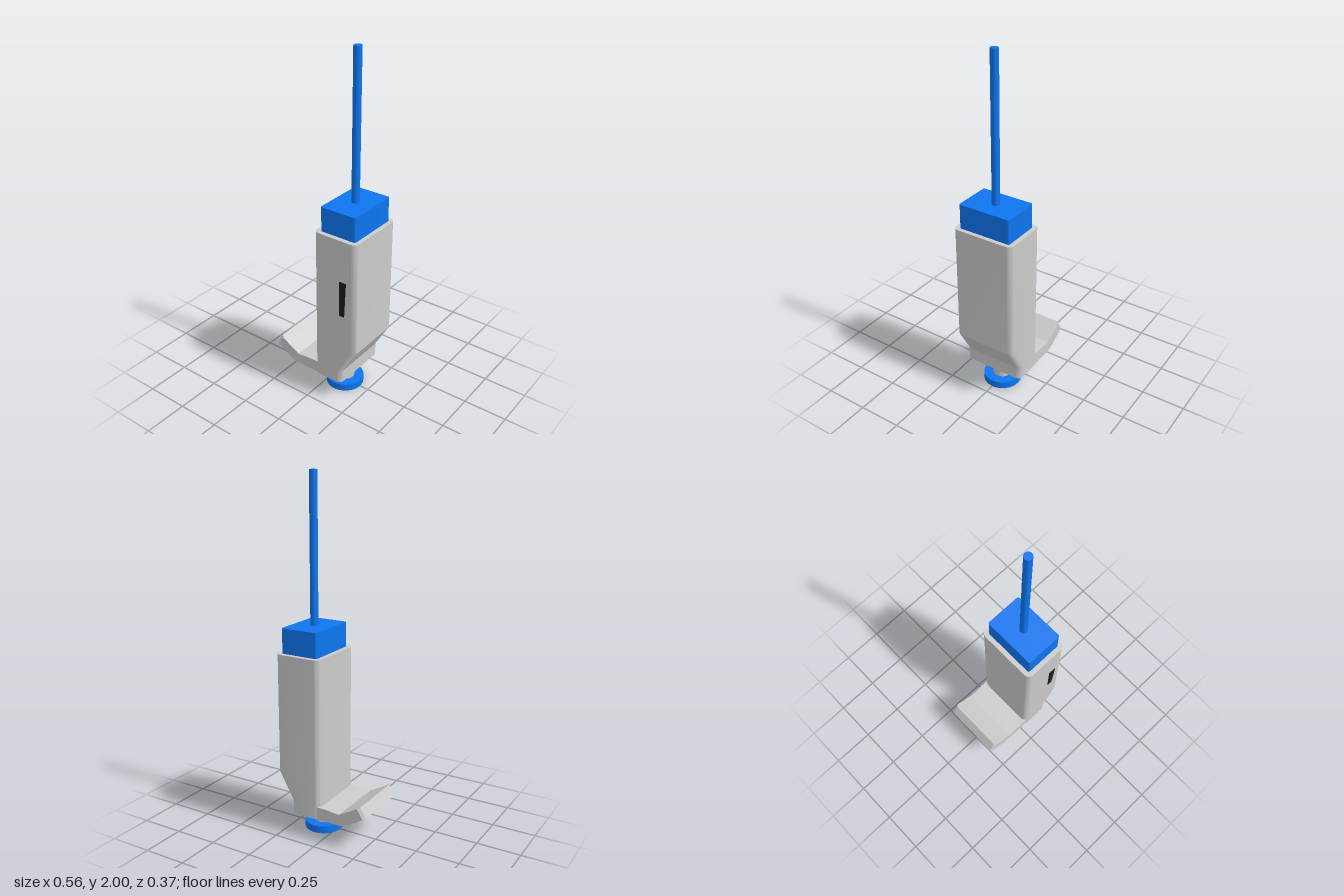
import * as THREE from 'three';
import { toCreasedNormals } from 'three/addons/utils/BufferGeometryUtils.js';

const Z = -0.003; // depth centre of the body

// Rounded rectangle in plan, counter-clockwise
function roundedRect(x0, x1, z0, z1, r) {
  const s = new THREE.Shape();
  const corners = [[x1 - r, z1 - r, 0], [x0 + r, z1 - r, 1], [x0 + r, z0 + r, 2], [x1 - r, z0 + r, 3]];
  for (const [x, z, q] of corners) s.absarc(x, z, r, q * Math.PI / 2, (q + 1) * Math.PI / 2, false);
  return s.getPoints(5).filter((p, i, a) => i === 0 || (p.distanceTo(a[i - 1]) > 1e-6 && p.distanceTo(a[0]) > 1e-6));
}

// Joins equal-length counter-clockwise outlines, stacked along +level, and caps both ends
function loft(rings, levels) {
  const n = rings[0].length, pos = [], idx = [];
  rings.forEach((ring, k) => ring.forEach(p => pos.push(p.x, p.y, levels[k])));
  for (let k = 0; k < rings.length - 1; k++) {
    for (let i = 0; i < n; i++) {
      const a = k * n + i, b = k * n + (i + 1) % n;
      idx.push(a, b, b + n, a, b + n, a + n);
    }
  }
  const top = (rings.length - 1) * n;
  for (const [a, b, c] of THREE.ShapeUtils.triangulateShape(rings[0], [])) idx.push(a, c, b);
  for (const [a, b, c] of THREE.ShapeUtils.triangulateShape(rings[rings.length - 1], [])) idx.push(top + a, top + b, top + c);
  const g = new THREE.BufferGeometry();
  g.setAttribute('position', new THREE.Float32BufferAttribute(pos, 3));
  g.setIndex(idx);
  return g;
}

// Upright loft: plan outlines (x, -z) stacked in y
const upright = (rings, levels) => loft(rings, levels).rotateX(-Math.PI / 2);

export function createModel() {
  const group = new THREE.Group();
  const grey = new THREE.MeshStandardMaterial({ color: 0xcccccc });
  const blue = new THREE.MeshStandardMaterial({ color: 0x0d76f0 });
  const black = new THREE.MeshStandardMaterial({ color: 0x1c1c1c });

  function add(name, geometry, material, crease = 0.5) {
    const mesh = new THREE.Mesh(toCreasedNormals(geometry, crease), material);
    mesh.name = name;
    group.add(mesh);
    return mesh;
  }
  function addCylinder(name, r, y0, y1, x, z, material) {
    const g = new THREE.CylinderGeometry(r, r, y1 - y0, 40).translate(x, (y0 + y1) / 2, z);
    add(name, g, material);
  }

  // Housing: rounded box whose +x side tapers in towards the bottom
  const sections = [[0.13, 0.187], [0.205, 0.187], [0.36, 0.276], [1.04, 0.276]];
  const rings = sections.map(([, x1]) => roundedRect(0.005, x1, -0.18, 0.185, 0.033));
  add('body', upright(rings, sections.map(s => s[0])), grey);

  // Finger lever: bent plate with the corners of its tip cut off
  const leverProfile = cut => [
    [0.06, 0.13], [0.06, 0.203], [-0.03, 0.202], [-0.12, 0.194],
    [-0.245 + cut, 0.265 - cut * 0.57], [-0.28 + cut, 0.208 - cut * 0.57],
    [-0.158, 0.138], [-0.13, 0.13],
  ].map(([x, y]) => new THREE.Vector2(x, y));
  const cuts = [0.013, 0, 0, 0.013];
  add('fingerLever', loft(cuts.map(leverProfile), [Z - 0.178, Z - 0.166, Z + 0.166, Z + 0.178]), grey, 0.3);

  // Plunger block seated in the top of the housing
  const block = roundedRect(0.032, 0.252, -0.153, 0.158, 0.01);
  add('plungerBlock', upright([block, block], [1.0, 1.18]), blue);
  addCylinder('plungerRod', 0.022, 1.17, 2, 0.142, Z, blue);

  // Stem and foot disc below the housing
  addCylinder('stem', 0.054, 0.03, 0.14, 0.087, 0, grey);
  addCylinder('footDisc', 0.108, 0, 0.042, 0.087, 0, blue);

  // Narrow tapered marker on the front face, proud at the top
  const marker = [[0.177, 0.585], [0.208, 0.585], [0.218, 0.797], [0.177, 0.797]].map(([x, y]) => new THREE.Vector2(x, y));
  const g = loft([marker, marker], [0.17, 0.182]);
  const p = g.attributes.position;
  for (let i = 4; i < 8; i++) if (p.getY(i) > 0.7) p.setZ(i, 0.185);
  add('marker', g, black, 0.3);

  return group;
}
